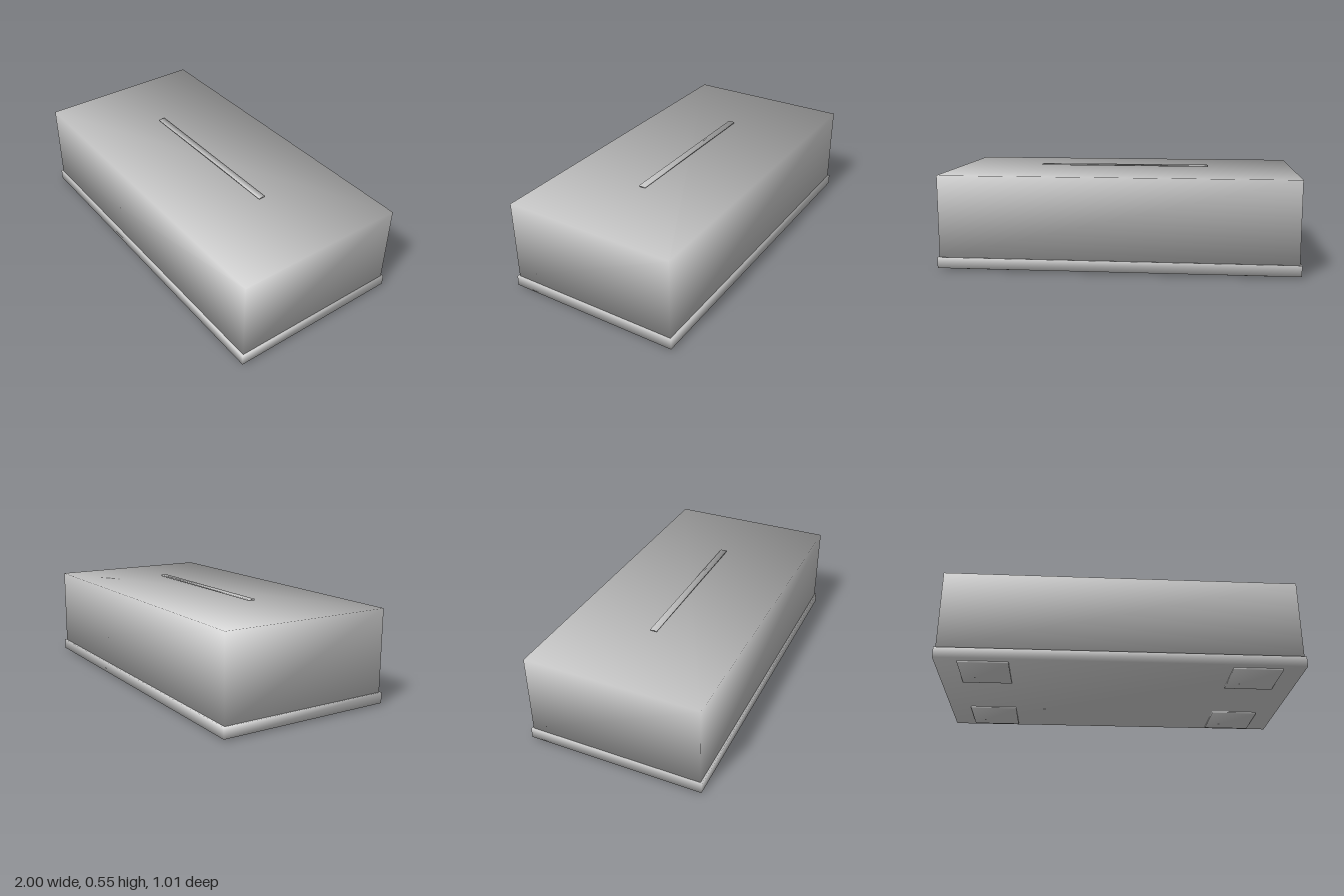
import * as THREE from 'three';

// Box with one shared, outward diagonal normal per corner (soft shading)
function softBox(w, h, d) {
  const geometry = new THREE.BoxGeometry(w, h, d);
  const pos = geometry.attributes.position;
  const k = 1 / Math.sqrt(3);
  for (let i = 0; i < pos.count; i++) {
    geometry.attributes.normal.setXYZ(
      i, Math.sign(pos.getX(i)) * k, Math.sign(pos.getY(i)) * k, Math.sign(pos.getZ(i)) * k);
  }
  return geometry;
}

export function createModel() {
  const group = new THREE.Group();
  const grey = new THREE.MeshStandardMaterial({ color: 0xcccccc });
  grey.name = 'light grey';

  // Adds a box spanning y0..y1, centred on x, z
  function addBox(name, w, d, y0, y1, x = 0, z = 0) {
    const mesh = new THREE.Mesh(softBox(w, y1 - y0, d), grey);
    mesh.name = name;
    mesh.position.set(x, (y0 + y1) / 2, z);
    group.add(mesh);
  }

  // Base slab and main body
  addBox('base', 2, 1.01, 0.01, 0.07);
  addBox('body', 1.98, 0.99, 0.07, 0.53);

  // Thin strip hovering just above the top
  addBox('topStrip', 0.993, 0.037, 0.539, 0.547);

  // Four thin feet
  for (const x of [-0.74, 0.74]) {
    for (const z of [-0.333, 0.333]) addBox('foot', 0.272, 0.272, 0, 0.01, x, z);
  }
  return group;
}
